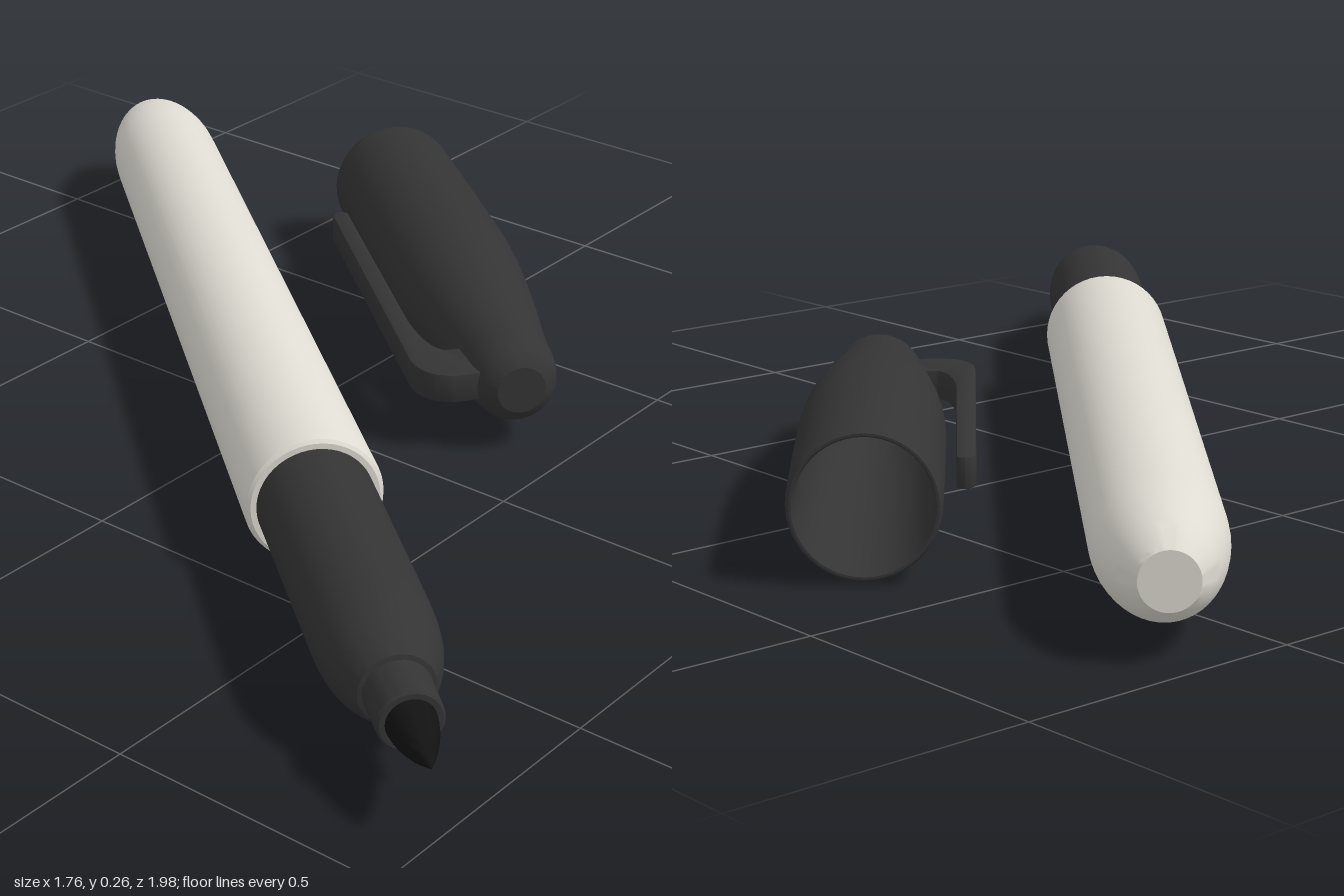
import * as THREE from 'three';
import { toCreasedNormals } from 'three/addons/utils/BufferGeometryUtils.js';

const AXIS_Y = 0.128;
const ANGLE = 0.891;

const material = (color) => new THREE.MeshStandardMaterial({ color });
const light = material(0xdedbd2);
const dark = material(0x343434);
const black = material(0x121212);

// Smooth run of [distance along axis, radius] points
function smooth(points, divisions = 16) {
  return new THREE.SplineCurve(points.map(([t, r]) => new THREE.Vector2(t, r)))
    .getPoints(divisions).map((p) => [p.x, Math.max(p.y, 0)]);
}

// Turned part lying along local +x
function turned(name, profile, mat, segments = 48) {
  const pts = profile.map(([t, r]) => new THREE.Vector2(r, t));
  const geo = new THREE.LatheGeometry(pts, segments).rotateZ(-Math.PI / 2);
  const mesh = new THREE.Mesh(toCreasedNormals(geo, 0.55), mat);
  mesh.name = name;
  return mesh;
}

function createPen() {
  const pen = new THREE.Group();
  pen.name = 'pen';

  // Pointed felt nib
  pen.add(turned('nib', [
    ...smooth([[0, 0], [0.04, 0.02], [0.09, 0.036], [0.14, 0.042]], 8), [0.15, 0],
  ], black, 32));

  // Narrow sleeve holding the nib
  pen.add(turned('nibSleeve', [
    [0.12, 0], [0.12, 0.049], [0.124, 0.053], [0.24, 0.055], [0.24, 0],
  ], dark, 32));

  // Grip with rounded shoulder
  pen.add(turned('grip', [
    [0.205, 0], [0.205, 0.055],
    ...smooth([[0.207, 0.062], [0.235, 0.077], [0.28, 0.091], [0.33, 0.098], [0.38, 0.1]]),
    [0.81, 0.101], [0.81, 0],
  ], dark));

  // Barrel with chamfered collar, slight taper and domed tail
  pen.add(turned('barrel', [
    [0.782, 0], [0.782, 0.111], [0.787, 0.117], [0.797, 0.12],
    ...smooth([[2.28, 0.108], [2.34, 0.105], [2.41, 0.093], [2.47, 0.073], [2.508, 0.05]]),
    [2.512, 0.047], [2.512, 0],
  ], light));

  pen.position.set(-0.88, AXIS_Y, 0.995);
  pen.rotation.y = ANGLE;
  return pen;
}

function createCap() {
  const cap = new THREE.Group();
  cap.name = 'cap';

  // Hollow shell: inner wall, rim, then outer wall to the closed end
  cap.add(turned('capShell', [
    [0.78, 0], [0.78, 0.075], [0.5, 0.108], [0.006, 0.112], [0, 0.115],
    [0, 0.119], [0.006, 0.123], [0.02, 0.125],
    ...smooth([[0.2, 0.127], [0.42, 0.128], [0.52, 0.126], [0.6, 0.12], [0.7, 0.109],
      [0.8, 0.095], [0.87, 0.086], [0.93, 0.081], [0.965, 0.07], [0.982, 0.053]], 36),
    [0.987, 0.045], [0.987, 0],
  ], dark));

  // Side clip: slim bar curving into the closed end of the cap
  const s = new THREE.Shape();
  s.moveTo(0.21, 0.149);
  s.lineTo(0.72, 0.149);
  s.quadraticCurveTo(0.84, 0.142, 0.855, 0.11);
  s.lineTo(0.855, 0.05);
  s.lineTo(0.95, 0.05);
  s.lineTo(0.955, 0.115);
  s.quadraticCurveTo(0.945, 0.176, 0.875, 0.178);
  s.lineTo(0.22, 0.174);
  s.quadraticCurveTo(0.195, 0.165, 0.21, 0.149);
  const width = 0.046;
  const geo = new THREE.ExtrudeGeometry(s, {
    depth: width, curveSegments: 10,
    bevelEnabled: true, bevelThickness: 0.005, bevelSize: 0.004, bevelSegments: 2,
  });
  geo.translate(0, 0, -width / 2).rotateX(Math.PI / 2);
  const clip = new THREE.Mesh(toCreasedNormals(geo, 0.6), dark);
  clip.name = 'clip';
  cap.add(clip);

  cap.position.set(0.784, AXIS_Y, -0.349);
  cap.rotation.y = ANGLE + Math.PI;
  return cap;
}

export function createModel() {
  const model = new THREE.Group();
  model.name = 'markerWithCap';
  model.add(createPen(), createCap());
  return model;
}
